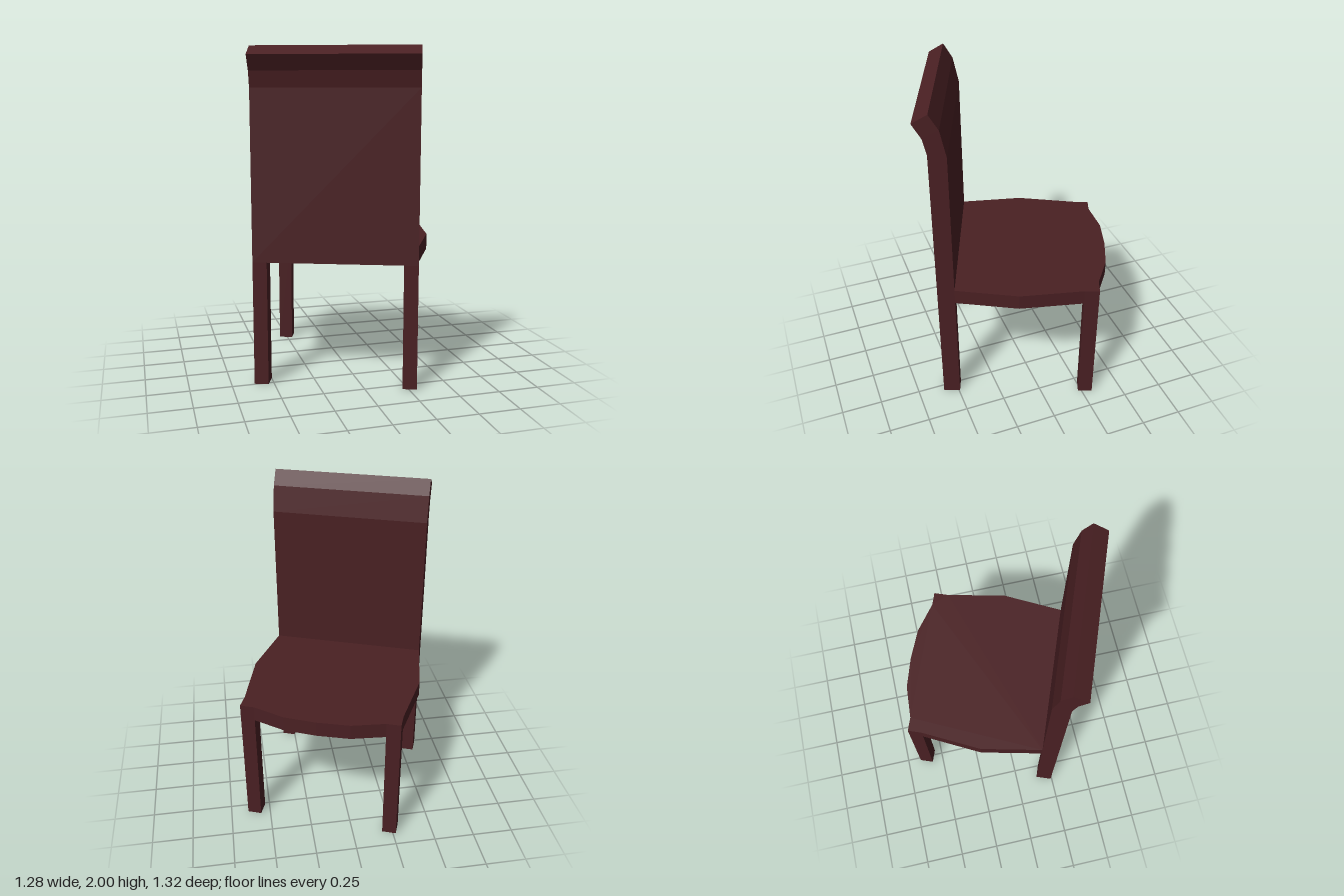
import * as THREE from 'three';

const HALF = 0.487;      // half the chair's width
const SEAT_LOW = 0.75;
const SEAT_TOP = 0.845;
const BACK_FRONT = -0.342; // z of the backrest's front face
const BACK_REAR = -0.446;  // z of the backrest's rear face

const wood = new THREE.MeshStandardMaterial({ color: 0x4a2023, flatShading: true });

function extrude(points, depth) {
  const shape = new THREE.Shape(points.map(([x, y]) => new THREE.Vector2(x, y)));
  return new THREE.ExtrudeGeometry(shape, { depth, bevelEnabled: false });
}

function part(name, geometry) {
  const mesh = new THREE.Mesh(geometry, wood);
  mesh.name = name;
  return mesh;
}

// Seat: bowed sides and front, square corners over the front legs
function makeSeat() {
  const half = [
    [HALF, BACK_FRONT], [0.537, 0.045], [HALF, 0.432],
    [HALF, 0.522], [0.4, 0.522], [0.2, 0.583],
  ];
  const mirrored = half.map(([x, z]) => [-x, z]).reverse();
  const geometry = extrude([...half, [0, 0.594], ...mirrored], SEAT_TOP - SEAT_LOW);
  geometry.rotateX(Math.PI / 2).translate(0, SEAT_TOP, 0);
  return part('seat', geometry);
}

// Backrest: side profile (z, y) that rolls backwards at the top
function makeBackrest() {
  const geometry = extrude([
    [BACK_REAR, SEAT_LOW], [BACK_FRONT, SEAT_LOW], [BACK_FRONT, 1.75],
    [-0.375, 1.91], [-0.429, 2.0], [-0.519, 1.947], [-0.468, 1.86], [BACK_REAR, 1.765],
  ], 2 * HALF);
  geometry.rotateY(-Math.PI / 2).translate(HALF, 0, 0);
  return part('backrest', geometry);
}

// Straight leg with its outer face flush with the chair's side
function makeLeg(name, side, width, z0, z1) {
  const geometry = new THREE.BoxGeometry(width, SEAT_LOW, z1 - z0);
  geometry.translate(side * (HALF - width / 2), SEAT_LOW / 2, (z0 + z1) / 2);
  return part(name, geometry);
}

export function createModel() {
  const chair = new THREE.Group();
  chair.name = 'chair';
  chair.add(makeSeat(), makeBackrest());
  for (const side of [1, -1]) {
    const label = side > 0 ? 'Left' : 'Right';
    chair.add(makeLeg(`front${label}Leg`, side, 0.087, 0.432, 0.522));
    chair.add(makeLeg(`back${label}Leg`, side, 0.085, BACK_REAR, BACK_FRONT));
  }
  // The chair stands turned about the vertical axis
  chair.rotation.y = Math.PI - 0.367;
  const model = new THREE.Group();
  model.name = 'turnedChair';
  model.add(chair);
  return model;
}
